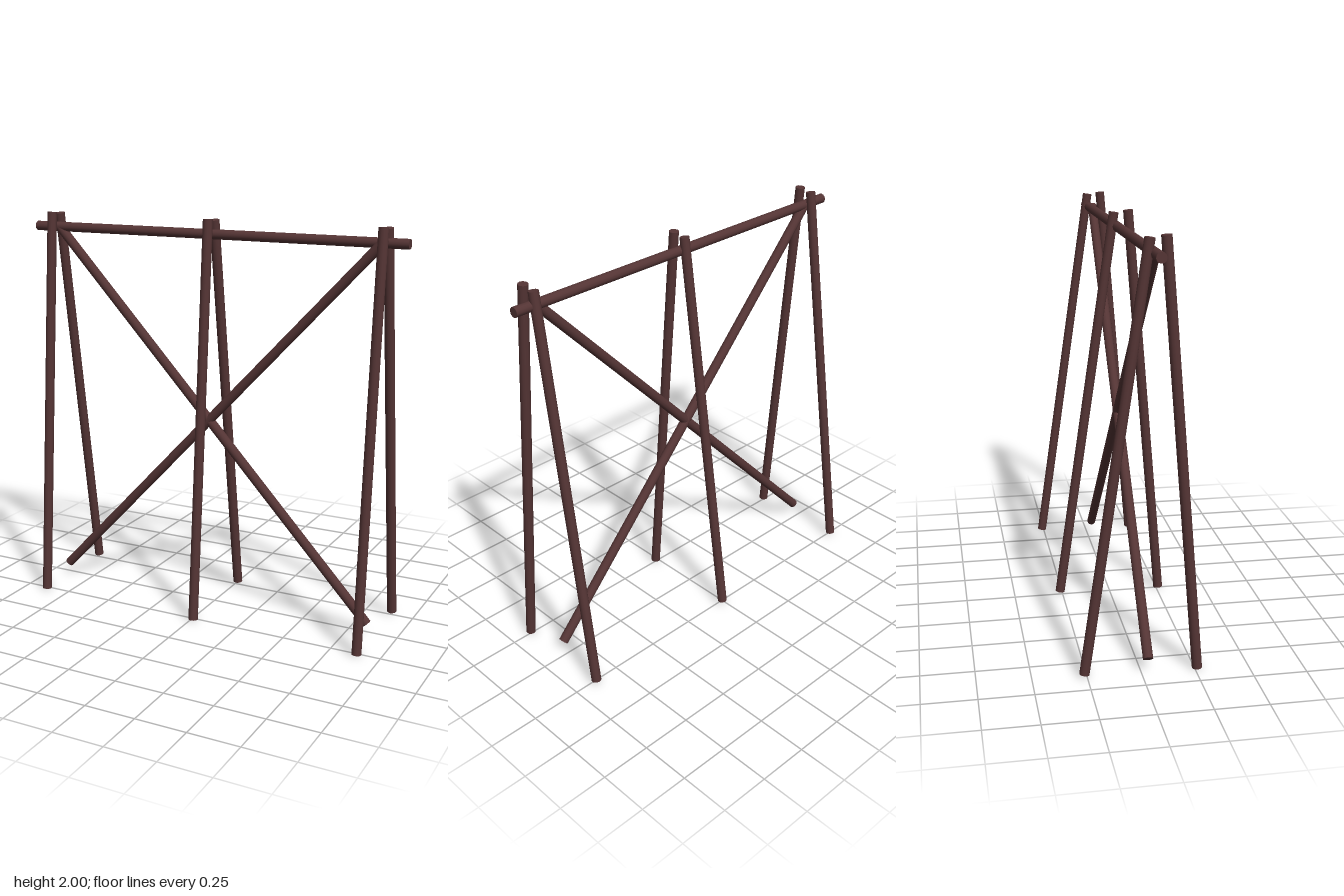
import * as THREE from 'three';

const RADIUS = 0.024;

export function createModel() {
  const group = new THREE.Group();
  group.name = 'poleFrame';
  const wood = new THREE.MeshStandardMaterial({ color: 0x553535, roughness: 0.8 });
  const up = new THREE.Vector3(0, 1, 0);

  // A round pole running between two end points
  function pole(name, from, to) {
    const a = new THREE.Vector3(...from);
    const b = new THREE.Vector3(...to);
    const dir = b.clone().sub(a);
    const mesh = new THREE.Mesh(new THREE.CylinderGeometry(RADIUS, RADIUS, dir.length(), 12), wood);
    mesh.name = name;
    mesh.position.copy(a).add(b).multiplyScalar(0.5);
    mesh.quaternion.setFromUnitVectors(up, dir.normalize());
    group.add(mesh);
  }

  // Three pairs of splayed legs
  for (const [side, x] of [['right', -0.88], ['middle', 0.01], ['left', 0.885]]) {
    pole(side + 'FrontLeg', [x, 0.003, 0.262], [x, 1.997, 0.092]);
    pole(side + 'BackLeg', [x, 0.015, -0.262], [x, 1.988, 0.022]);
  }

  // Ridge rail resting in the forks of the legs
  pole('ridgeRail', [-1, 1.92, 0.047], [0.99, 1.92, 0.026]);

  // Crossed diagonal braces
  pole('rightToLeftBrace', [-0.872, 1.925, 0.046], [0.852, 0.058, 0.031]);
  pole('leftToRightBrace', [0.872, 1.925, 0.048], [-0.885, 0.068, 0.031]);

  return group;
}
